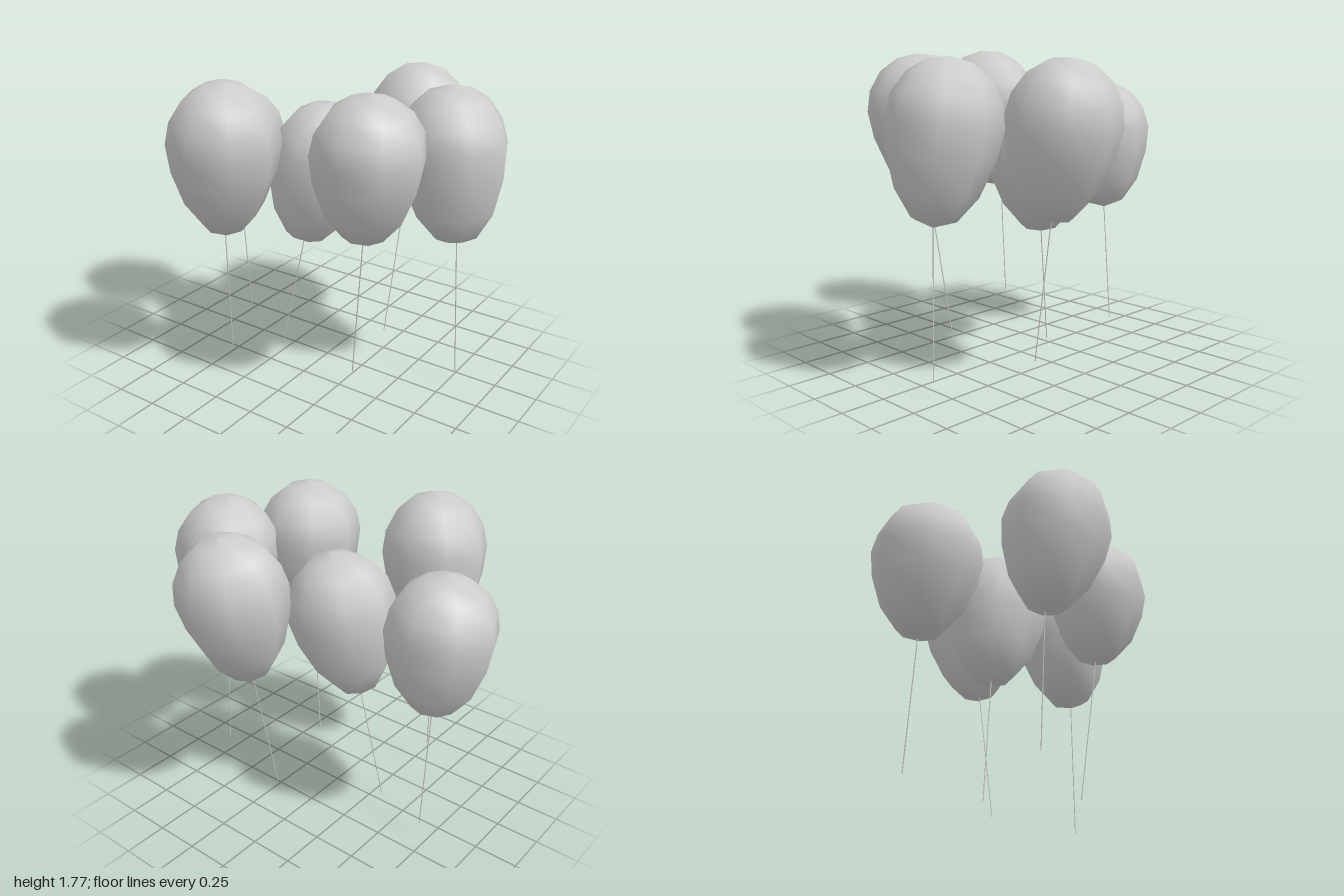
import * as THREE from 'three';

const UP = new THREE.Vector3(0, 1, 0);

// Teardrop profile from the tied neck (y = 0) to the crown (y = 1)
const PROFILE = [
  [0, 0], [0.117, 0.047], [0.216, 0.205], [0.282, 0.43], [0.305, 0.617],
  [0.282, 0.762], [0.216, 0.892], [0.117, 0.975], [0, 1],
].map(([r, y]) => new THREE.Vector2(r, y));

// neck: where the string meets the balloon; belly: x, z of the widest ring;
// height: balloon length; end: loose end of the string
const BALLOONS = [
  { neck: [-0.69, 0.8, -0.055], belly: [-0.69, -0.01], height: 0.78, end: [-0.69, 0.085, -0.115] },
  { neck: [-0.335, 0.915, 0.51], belly: [-0.27, 0.555], height: 0.86, end: [-0.345, 0.16, 0.48] },
  { neck: [-0.17, 0.72, 0], belly: [-0.075, -0.06], height: 0.85, end: [-0.295, 0, 0.065] },
  { neck: [0.24, 0.88, -0.46], belly: [0.255, -0.56], height: 0.86, end: [0.21, 0.08, -0.32] },
  { neck: [0.43, 0.96, 0.3], belly: [0.46, 0.31], height: 0.79, end: [0.33, 0.11, 0.23] },
  { neck: [0.76, 0.88, -0.13], belly: [0.69, -0.15], height: 0.86, end: [0.79, 0.07, -0.15] },
];

export function createModel() {
  const group = new THREE.Group();
  group.name = 'balloonCluster';
  const material = new THREE.MeshStandardMaterial({ color: 0xcccccc });
  const skin = new THREE.LatheGeometry(PROFILE, 8);

  BALLOONS.forEach(({ neck, belly, height, end }, i) => {
    const unit = new THREE.Group();
    unit.name = `balloonWithString${i + 1}`;
    const tie = new THREE.Vector3(...neck);
    const tail = new THREE.Vector3(...end);

    // Balloon leaning from its neck towards its belly
    const lean = new THREE.Vector3(belly[0] - neck[0], 0.617 * height, belly[1] - neck[2]).normalize();
    const balloon = new THREE.Mesh(skin, material);
    balloon.name = 'balloon';
    balloon.position.copy(tie);
    balloon.scale.y = height;
    balloon.quaternion.setFromUnitVectors(UP, lean);

    // Straight thin string, running slightly into the neck
    const top = tie.clone().addScaledVector(lean, 0.02);
    const span = top.clone().sub(tail);
    const string = new THREE.Mesh(new THREE.CylinderGeometry(0.003, 0.003, span.length(), 6), material);
    string.name = 'string';
    string.position.copy(tail).addScaledVector(span, 0.5);
    string.quaternion.setFromUnitVectors(UP, span.normalize());

    unit.add(balloon, string);
    group.add(unit);
  });
  return group;
}
